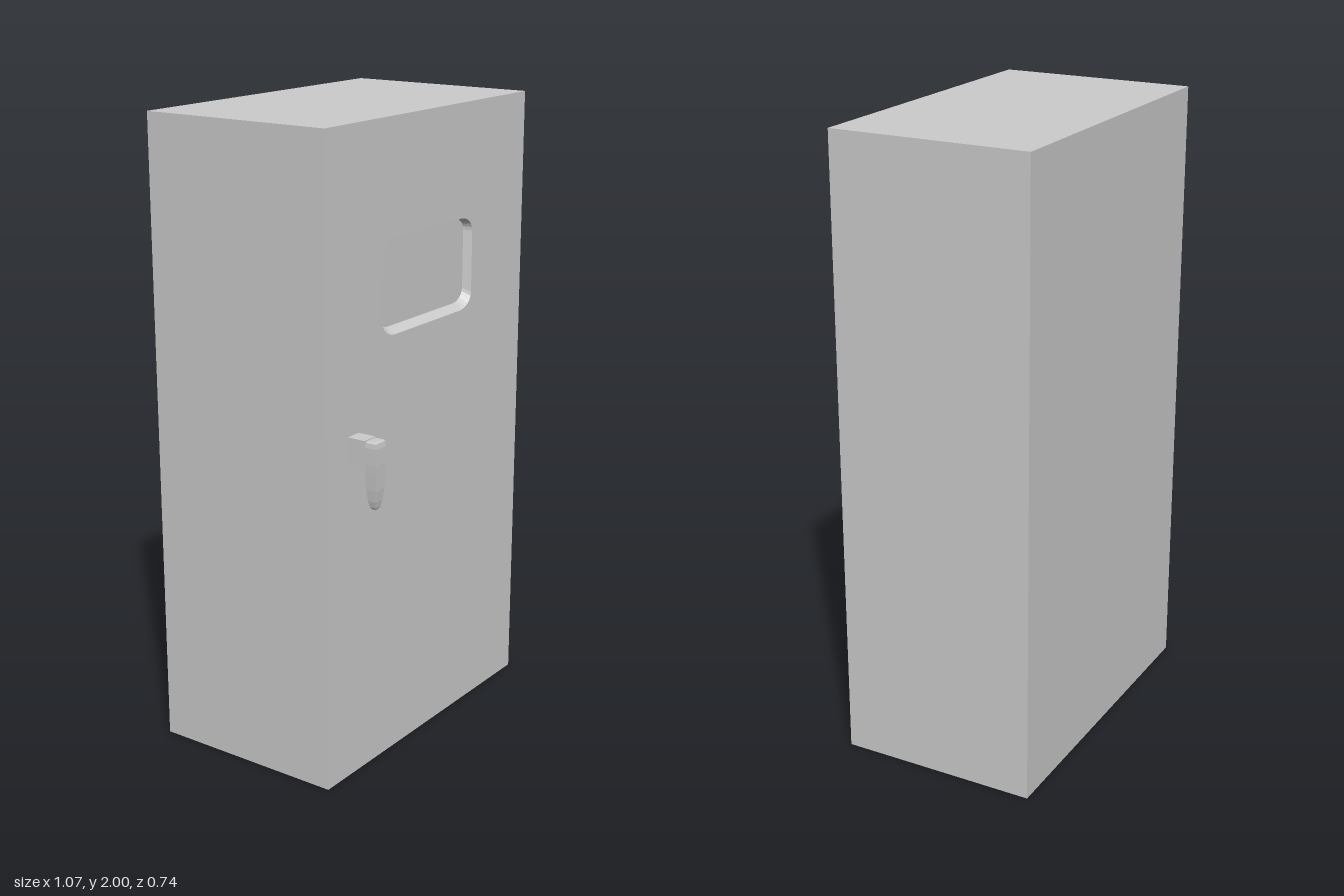
import * as THREE from 'three';

const W = 1.066, H = 2, BACK = -0.37, FRONT = 0.27;
const material = new THREE.MeshStandardMaterial({ color: 0xcccccc, flatShading: true, side: THREE.DoubleSide });

function addMesh(parent, name, geometry) {
  const mesh = new THREE.Mesh(geometry, material);
  mesh.name = name;
  parent.add(mesh);
  return mesh;
}

// Outline of a rectangle with elliptical corners, counter-clockwise
function roundedOutline(x0, x1, y0, y1, rx, ry, steps = 6) {
  const centres = [[x1 - rx, y1 - ry], [x0 + rx, y1 - ry], [x0 + rx, y0 + ry], [x1 - rx, y0 + ry]];
  return centres.flatMap(([cx, cy], c) => Array.from({ length: steps + 1 }, (_, i) => {
    const a = (c + i / steps) * Math.PI / 2;
    return new THREE.Vector2(cx + rx * Math.cos(a), cy + ry * Math.sin(a));
  }));
}

// Joins closed rings of equal point count; optionally fans the ends shut
function loft(rings, capped) {
  const n = rings[0].length, index = [];
  for (let r = 0; r < rings.length - 1; r++) {
    for (let i = 0; i < n; i++) {
      const a = r * n + i, b = r * n + (i + 1) % n;
      index.push(a, b, b + n, a, b + n, a + n);
    }
  }
  if (capped) {
    const last = (rings.length - 1) * n;
    for (let i = 1; i < n - 1; i++) index.push(0, i + 1, i, last, last + i, last + i + 1);
  }
  const geometry = new THREE.BufferGeometry();
  geometry.setAttribute('position', new THREE.Float32BufferAttribute(rings.flat(2), 3));
  geometry.setIndex(index);
  const flat = geometry.toNonIndexed();
  flat.computeVertexNormals();
  return flat;
}

export function createModel() {
  const model = new THREE.Group();
  model.name = 'cabinet';

  // Hollow sheet casing, open towards the door
  const casing = new THREE.BoxGeometry(W, H, FRONT - BACK);
  const FRONT_FACE = 4;
  casing.setIndex(Array.from(casing.index.array).filter((_, i) => Math.floor(i / 6) !== FRONT_FACE));
  casing.clearGroups();
  addMesh(model, 'casing', casing).position.set(0, H / 2, (FRONT + BACK) / 2);

  // Door panel with the window opening
  const outer = roundedOutline(-0.255, 0.232, 1.357, 1.647, 0.065, 0.048);
  const inner = roundedOutline(-0.246, 0.218, 1.377, 1.643, 0.055, 0.04);
  const panel = new THREE.Shape([
    new THREE.Vector2(-W / 2, 0), new THREE.Vector2(W / 2, 0),
    new THREE.Vector2(W / 2, H), new THREE.Vector2(-W / 2, H),
  ]);
  panel.holes.push(new THREE.Path(outer.slice().reverse()));
  addMesh(model, 'door', new THREE.ShapeGeometry(panel)).position.z = FRONT;

  // Slightly tapered rim running inwards around the window
  addMesh(model, 'windowRim', loft([
    outer.map(p => [p.x, p.y, FRONT]),
    inner.map(p => [p.x, p.y, FRONT - 0.025]),
  ], false));

  // Handle: square stem and a tapering, chamfered grip
  const handle = new THREE.Group();
  handle.name = 'handle';
  handle.position.x = -0.402;
  model.add(handle);
  addMesh(handle, 'handleStem', new THREE.BoxGeometry(0.054, 0.08, 0.06)).position.set(0, 1.06, 0.3);

  // Each row: height, half width, back z, front z
  const sections = [
    [0.888, 0.006, 0.344, 0.355], [0.895, 0.013, 0.34, 0.358], [0.915, 0.018, 0.336, 0.362],
    [0.95, 0.022, 0.332, 0.366], [1.0, 0.025, 0.33, 0.368], [1.03, 0.026, 0.329, 0.369],
    [1.08, 0.026, 0.329, 0.369], [1.095, 0.024, 0.331, 0.367], [1.1, 0.019, 0.335, 0.362],
  ];
  addMesh(handle, 'handleGrip', loft(sections.map(([y, w, zb, zf]) => [
    [-w, y, zf], [w, y, zf], [w, y, zb], [-w, y, zb],
  ]), true));

  return model;
}
